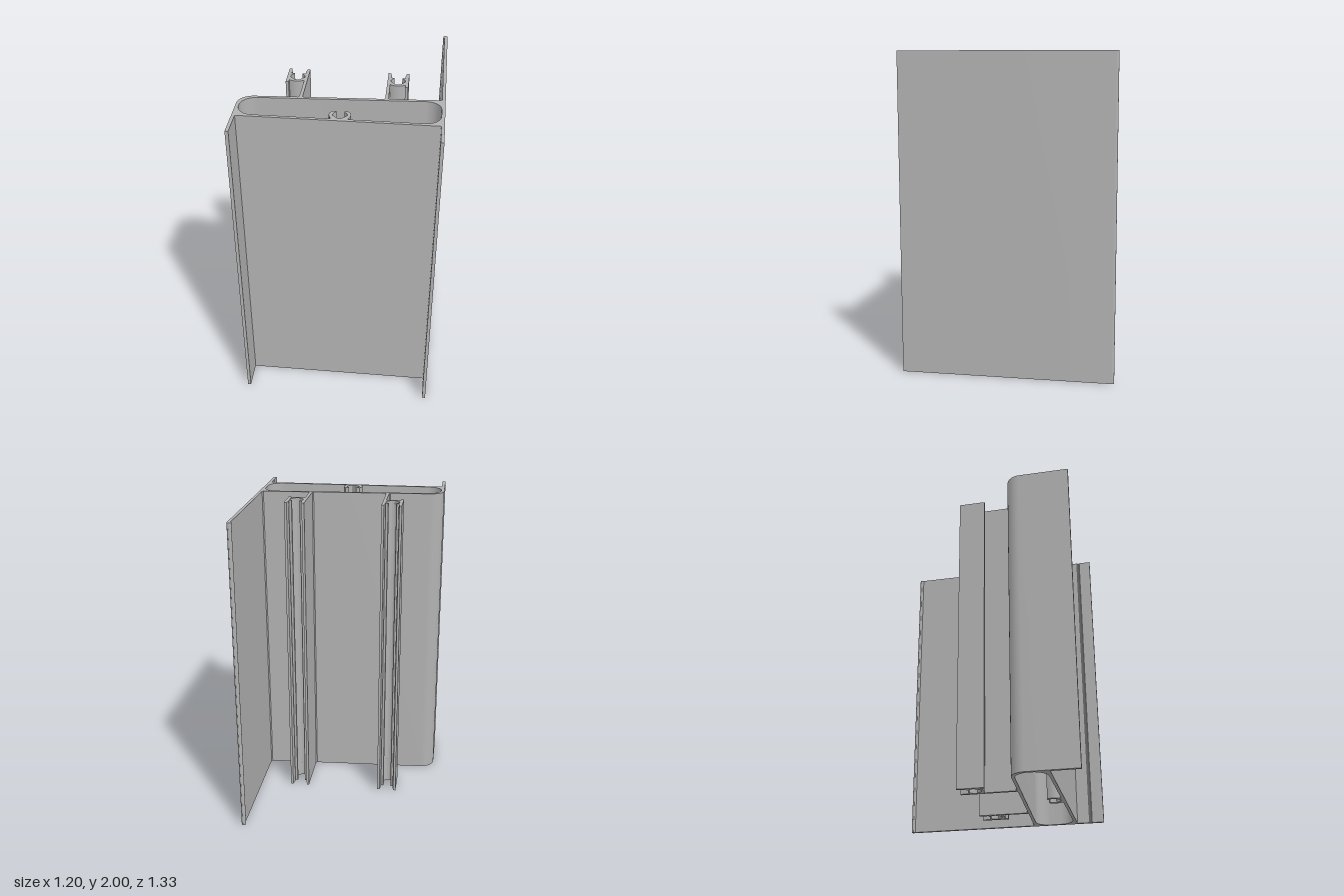
import * as THREE from 'three';
import { toCreasedNormals } from 'three/addons/utils/BufferGeometryUtils.js';

const HEIGHT = 2;

// Sloping rear face of the hollow chamber
const rearZ = (x) => 0.228 - 0.0525 * x;

// Cross-sections are drawn in plan as (x, z) and run the full height
function extrudePlan(shape, name, material) {
  const geometry = new THREE.ExtrudeGeometry(shape, {
    depth: HEIGHT, bevelEnabled: false, curveSegments: 12,
  });
  geometry.rotateX(Math.PI / 2);
  geometry.translate(0, HEIGHT, 0);
  const mesh = new THREE.Mesh(toCreasedNormals(geometry, 0.5), material);
  mesh.name = name;
  return mesh;
}

const polygon = (points) => new THREE.Shape(points.map(([x, z]) => new THREE.Vector2(x, z)));

// Rounded corner from the current point, bending around (cx, cz)
function corner(path, cx, cz, x, z) {
  const p = path.currentPoint, k = 0.5523;
  path.bezierCurveTo(
    p.x + (cx - p.x) * k, p.y + (cz - p.y) * k,
    x + (cx - x) * k, z + (cz - z) * k, x, z);
}

function chamberShape() {
  const s = new THREE.Shape();
  s.moveTo(-0.6, 0.49);
  s.lineTo(-0.6, 0.345);
  corner(s, -0.6, rearZ(-0.6), -0.51, rearZ(-0.51));
  s.lineTo(0.573, rearZ(0.573));
  s.lineTo(0.58, 0.19);
  s.lineTo(0.6, 0.19);
  s.lineTo(0.6, 0.49);
  s.closePath();

  // Cavity, whose front wall carries the open screw port
  const h = new THREE.Path();
  h.moveTo(-0.58, 0.38);
  corner(h, -0.58, 0.47, -0.49, 0.47);
  const port = [
    [0.05, 0.47], [0.049, 0.463], [0.059, 0.445], [0.064, 0.424], [0.059, 0.402],
    [0.048, 0.384], [0.023, 0.384], [0.023, 0.391], [0.036, 0.403], [0.042, 0.418],
    [0.042, 0.43], [0.014, 0.459], [0.007, 0.464],
  ];
  const mid = 0.009;
  port.forEach(([d, z]) => h.lineTo(mid - d, z));
  [...port].reverse().forEach(([d, z]) => h.lineTo(mid + d, z));
  h.lineTo(0.49, 0.47);
  corner(h, 0.58, 0.47, 0.58, 0.38);
  h.lineTo(0.58, 0.308);
  corner(h, 0.58, rearZ(0.58) + 0.02, 0.49, rearZ(0.49) + 0.02);
  h.lineTo(-0.49, rearZ(-0.49) + 0.02);
  corner(h, -0.58, rearZ(-0.58) + 0.02, -0.58, 0.362);
  h.closePath();
  s.holes.push(h);
  return s;
}

// Fin reaching back, ending in a small bead
function finShape() {
  const s = new THREE.Shape();
  s.moveTo(0.58, 0.19);
  s.lineTo(0.6, 0.19);
  s.lineTo(0.6, -0.651);
  s.absarc(0.586, -0.651, 0.014, 0, -4.28, true);
  s.closePath();
  return s;
}

// Stem and snap-in channel; side is the direction from stem to outer arm
function clipShape(stemX, side) {
  const half = 0.0635;
  // Inner face of one arm: lead-in, lip and screw seat (offset from centre, z)
  const inner = [
    [0.0475, -0.107], [0.0405, -0.067], [0.041, -0.06], [0.046, -0.05], [0.027, -0.051],
    [0.023, -0.045], [0.037, -0.03], [0.043, -0.018], [0.043, -0.002], [0.015, 0.029],
    [0.008, 0.033],
  ];
  // Rounded underside between the arms
  const under = [[0.0455, 0.037], [0.034, 0.043], [0.018, 0.049], [0, 0.051],
    [-0.018, 0.049], [-0.034, 0.043], [-0.0455, 0.037]];
  const at = (d) => stemX + side * (half + d);
  const footZ = (d) => rearZ(at(d));
  const points = [
    [-half, -0.107],
    ...inner.map(([d, z]) => [-d, z]),
    ...[...inner].reverse(),
    [half, -0.107], [half, 0.063], [0.0455, 0.063],
    ...under,
    // Stem flares slightly where it meets the chamber
    [-0.0435, footZ(-0.0435) - 0.008],
    [-0.0365, footZ(-0.0365)],
    [-half - 0.007, footZ(-half - 0.007)],
    [-half, footZ(-half) - 0.008],
  ];
  return polygon(points.map(([d, z]) => [at(d), z]));
}

export function createModel() {
  const group = new THREE.Group();
  group.name = 'extrudedFrameProfile';
  const aluminium = new THREE.MeshStandardMaterial({ color: 0xb2b2b2 });
  aluminium.name = 'aluminium grey';
  const add = (shape, name) => group.add(extrudePlan(shape, name, aluminium));

  add(chamberShape(), 'hollowChamber');
  add(finShape(), 'rearFin');

  // Front flanges; the left one has a small groove on its inner face
  add(polygon([[-0.6, 0.49], [-0.58, 0.49], [-0.58, 0.665], [-0.6, 0.665]]), 'rightFrontFlange');
  add(polygon([[0.58, 0.49], [0.6, 0.49], [0.6, 0.665], [0.58, 0.665], [0.58, 0.588],
    [0.585, 0.582], [0.585, 0.576], [0.58, 0.57]]), 'leftFrontFlange');

  add(clipShape(-0.23, -1), 'rightClipRail');
  add(clipShape(0.25, 1), 'leftClipRail');
  return group;
}
